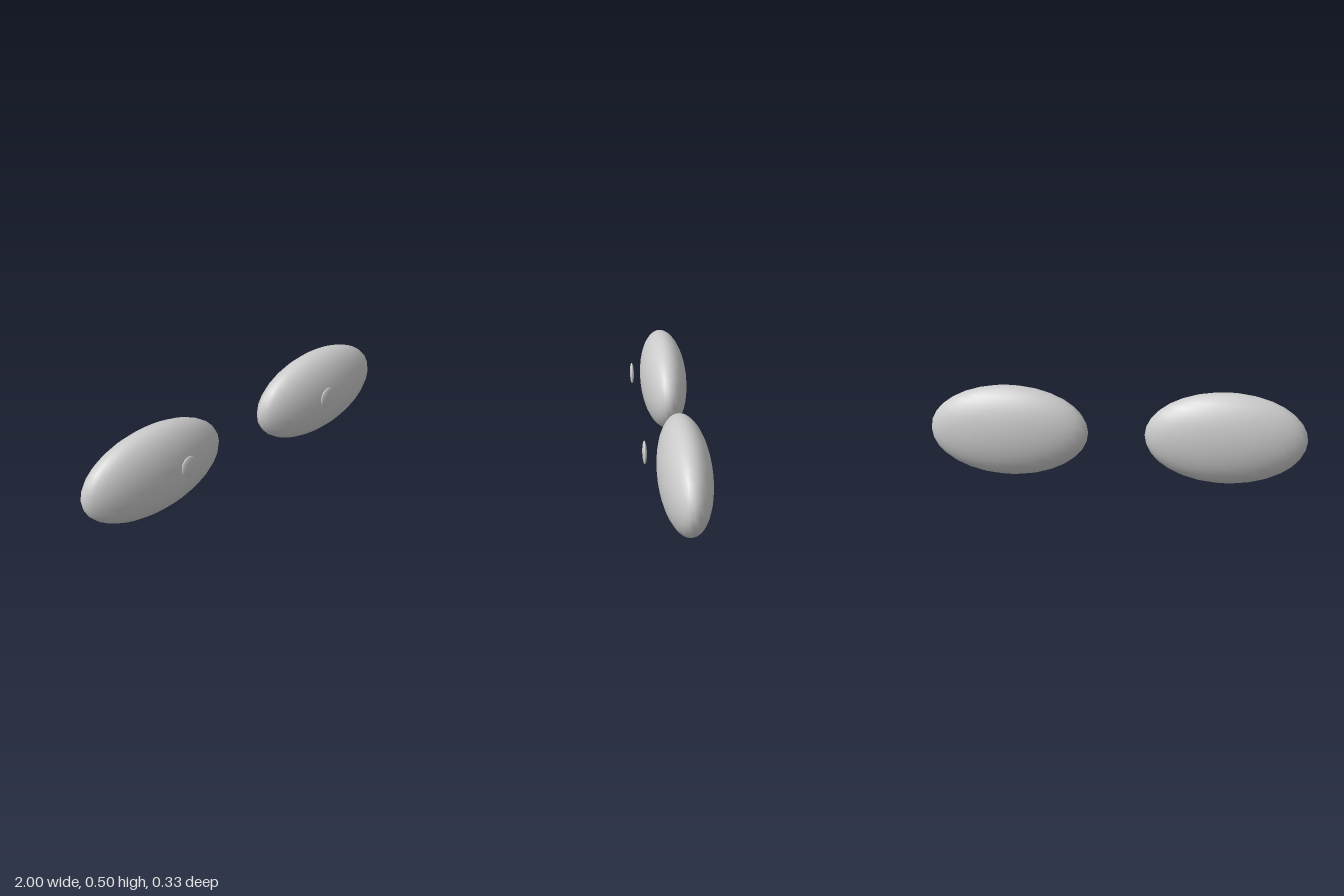
import * as THREE from 'three';

const material = new THREE.MeshStandardMaterial({ color: 0xcccccc });

// Smooth ellipsoid from a unit sphere
function ellipsoid(name, radii, position) {
  const geometry = new THREE.SphereGeometry(1, 32, 16);
  geometry.scale(...radii);
  const mesh = new THREE.Mesh(geometry, material);
  mesh.name = name;
  mesh.position.set(...position);
  return mesh;
}

export function createModel() {
  const model = new THREE.Group();
  model.name = 'eyes';

  // A mirrored pair: flattened eyeball with a small pupil floating in front
  for (const [side, s] of [['left', 1], ['right', -1]]) {
    const eye = new THREE.Group();
    eye.name = side + 'Eye';
    eye.add(
      ellipsoid(side + 'Eyeball', [0.425, 0.249, 0.131], [s * 0.575, 0.251, -0.032]),
      ellipsoid(side + 'Pupil', [0.048, 0.06, 0.011], [s * 0.486, 0.326, 0.153]),
    );
    model.add(eye);
  }
  return model;
}
